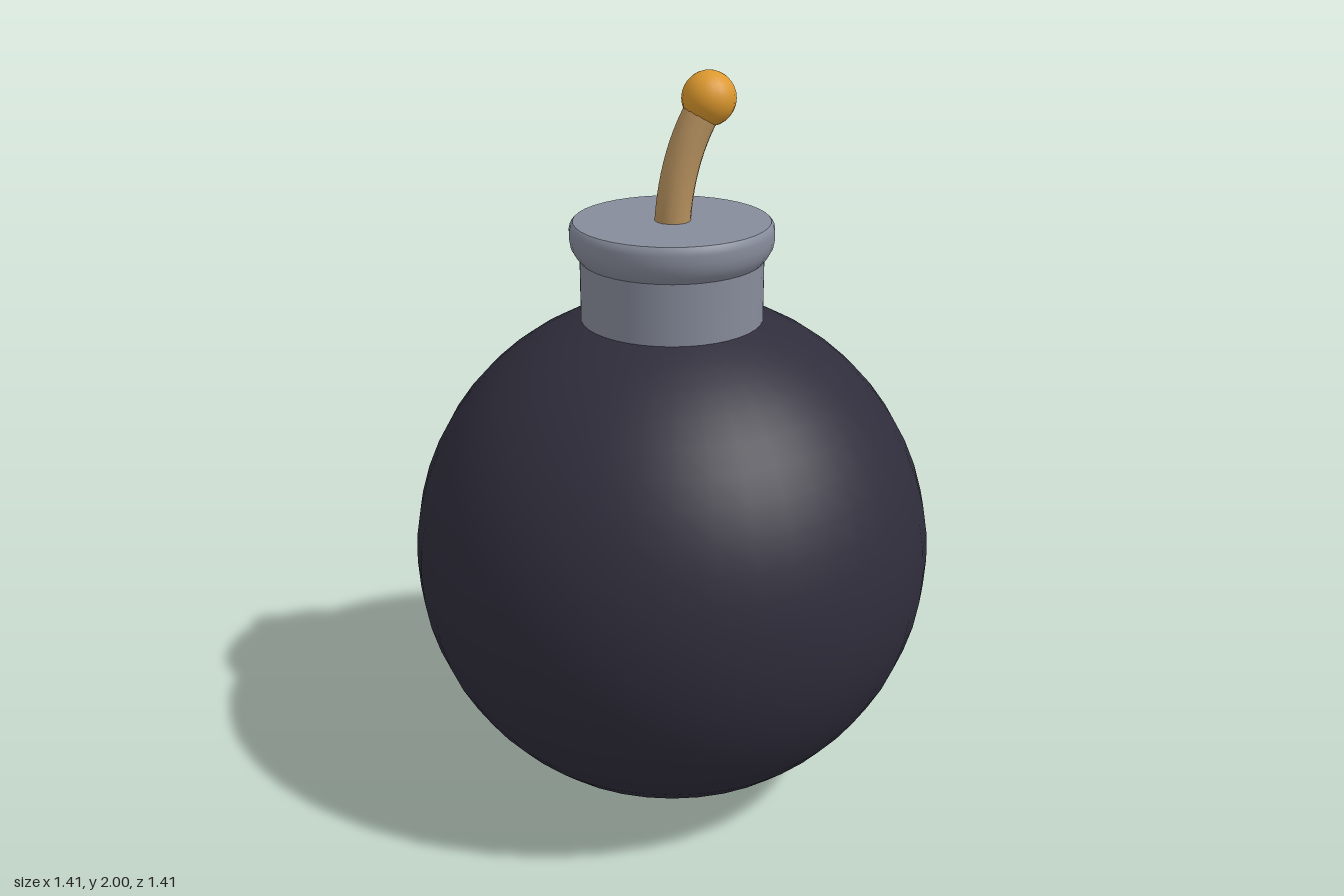
import * as THREE from 'three';

const material = (name, color) => Object.assign(new THREE.MeshStandardMaterial({ color }), { name });

export function createModel() {
  const group = new THREE.Group();
  const shell = material('dark shell', 0x2f2d3b);
  const metal = material('grey metal', 0x878c9b);
  const cord = material('tan cord', 0xb8925f);
  const ember = material('orange ember', 0xdd992e);

  const add = (name, geometry, mat, x = 0, y = 0) => {
    const mesh = new THREE.Mesh(geometry, mat);
    mesh.name = name;
    mesh.position.set(x, y, 0);
    group.add(mesh);
    return mesh;
  };

  // Round body
  add('body', new THREE.SphereGeometry(0.703, 40, 28), shell, 0, 0.703);

  // Straight neck and the rounded lip around its mouth
  add('neck', new THREE.CylinderGeometry(0.24, 0.24, 0.25, 40, 1, true), metal, 0, 1.425);
  const lip = [
    [0.24, 1.525], [0.252, 1.54], [0.262, 1.558], [0.266, 1.58],
    [0.266, 1.603], [0.263, 1.616], [0.256, 1.624],
  ].map(([r, y]) => new THREE.Vector2(r, y));
  add('lip', new THREE.LatheGeometry(lip, 40), metal);

  // Flat cap closing the lip
  add('cap', new THREE.CircleGeometry(0.256, 40), metal, 0, 1.624).rotation.x = -Math.PI / 2;

  // Fuse bending toward the left, with a glowing tip
  const path = new THREE.QuadraticBezierCurve3(
    new THREE.Vector3(0, 1.58, 0),
    new THREE.Vector3(0.005, 1.79, 0),
    new THREE.Vector3(0.1, 1.93, 0),
  );
  add('fuse', new THREE.TubeGeometry(path, 14, 0.047, 14), cord);
  add('fuseTip', new THREE.SphereGeometry(0.07, 18, 14), ember, 0.098, 1.93);

  return group;
}
